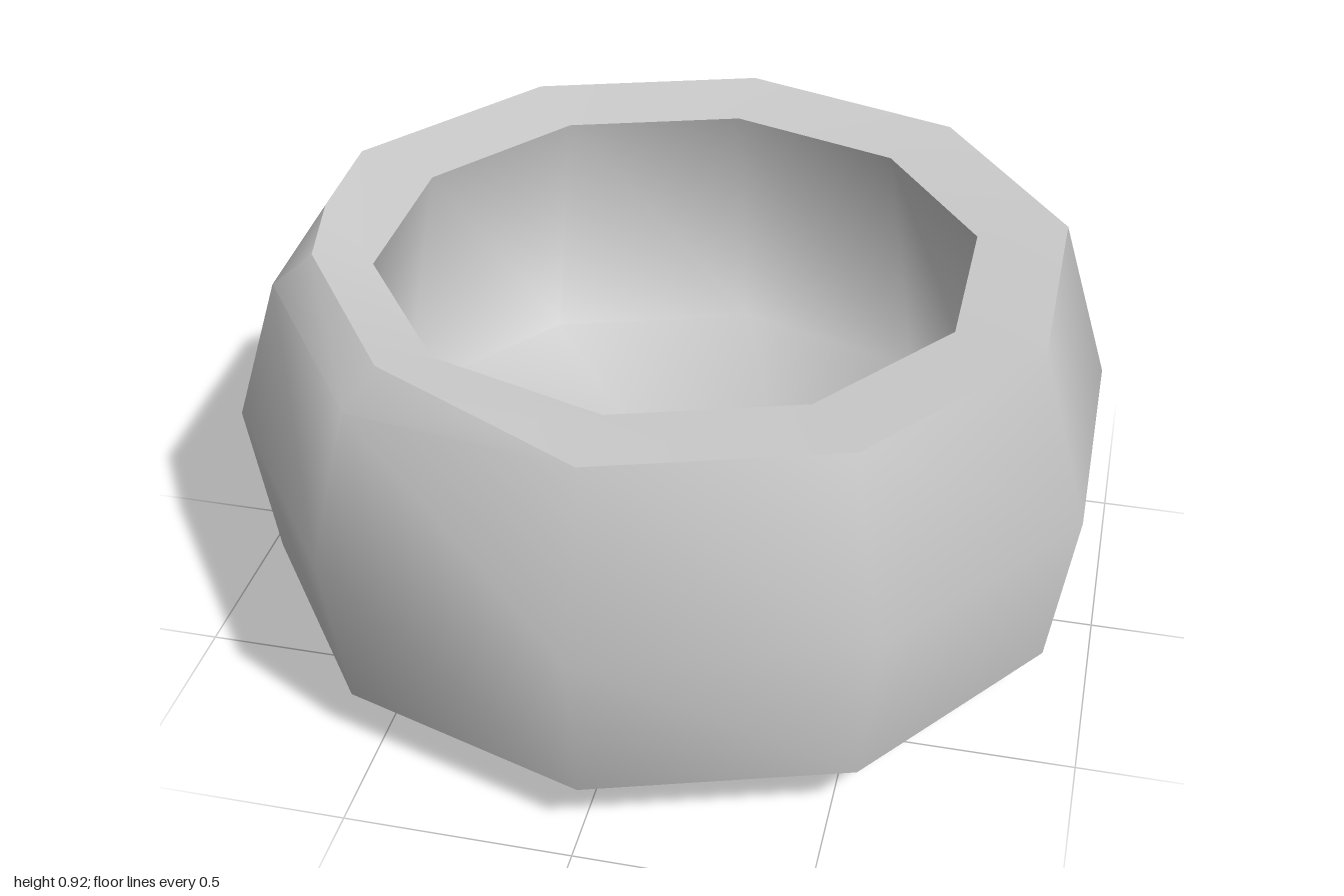
import * as THREE from 'three';
import { toCreasedNormals } from 'three/addons/utils/BufferGeometryUtils.js';

const SIDES = 10;
const STEP = (Math.PI * 2) / SIDES;

// Decagon ring; corner 0 is at the front and the count runs towards -x
const ring = (r, y) => Array.from({ length: SIDES }, (_, k) =>
  [-Math.sin(k * STEP) * r, y, Math.cos(k * STEP) * r]);

// Mesh from convex polygons, smooth where faces meet below the crease angle
function polyMesh(name, polygons, material, crease = 0.76) {
  const pos = [];
  for (const p of polygons) {
    for (let i = 1; i < p.length - 1; i++) pos.push(...p[0], ...p[i], ...p[i + 1]);
  }
  const geo = new THREE.BufferGeometry();
  geo.setAttribute('position', new THREE.Float32BufferAttribute(pos, 3));
  const mesh = new THREE.Mesh(toCreasedNormals(geo, crease), material);
  mesh.name = name;
  return mesh;
}

// Wall band between two rings, facing outward
const band = (low, high) => low.map((p, k) => {
  const n = (k + 1) % SIDES;
  return [p, high[k], high[n], low[n]];
});

export function createModel() {
  const group = new THREE.Group();
  group.name = 'bowl';
  const grey = new THREE.MeshStandardMaterial({ color: 0xcccccc });
  grey.name = 'grey';

  const base = ring(0.727, 0);
  const foot = ring(0.945, 0.135);
  const belly = ring(1, 0.515);
  const wallTop = ring(0.88, 0.905);
  const innerTop = ring(0.674, 0.89);
  const innerLow = ring(0.8, 0.245);

  // Worn edge at the front right: wall corners 1 and 2 drop, the lip moves inward
  const worn = ring(0.897, 0.85);
  wallTop[1] = worn[1];
  wallTop[2] = worn[2];
  const lipStart = [-0.2, 0.922, 0.795];
  const lipA = [-0.48, 0.922, 0.65];
  const lipB = [-0.765, 0.922, 0.25];
  const lipEnd = [-0.815, 0.922, 0.03];
  const wornEdge = [
    [wallTop[0], lipStart, wallTop[1]],
    [wallTop[1], lipStart, lipA],
    [wallTop[1], lipA, lipB, wallTop[2]],
    [wallTop[2], lipB, lipEnd],
    [wallTop[2], lipEnd, wallTop[3]],
  ];

  // Outer shell with flat underside
  group.add(polyMesh('outerShell', [
    base, ...band(base, foot), ...band(foot, belly), ...band(belly, wallTop), ...wornEdge,
  ], grey));

  // Rim, dipping slightly inward and following the worn lip
  const outerRim = wallTop.slice();
  outerRim[1] = lipA;
  outerRim[2] = lipB;
  const extra = { 0: [lipStart], 2: [lipEnd] };
  group.add(polyMesh('rim', innerTop.map((p, k) => {
    const n = (k + 1) % SIDES;
    return [p, innerTop[n], outerRim[n], ...(extra[k] || []), outerRim[k]];
  }), grey));

  // Hollow inside: overhanging wall blended softly into the floor
  group.add(polyMesh('hollow', [
    ...band(innerTop, innerLow), innerLow.slice().reverse(),
  ], grey, Math.PI));

  return group;
}
